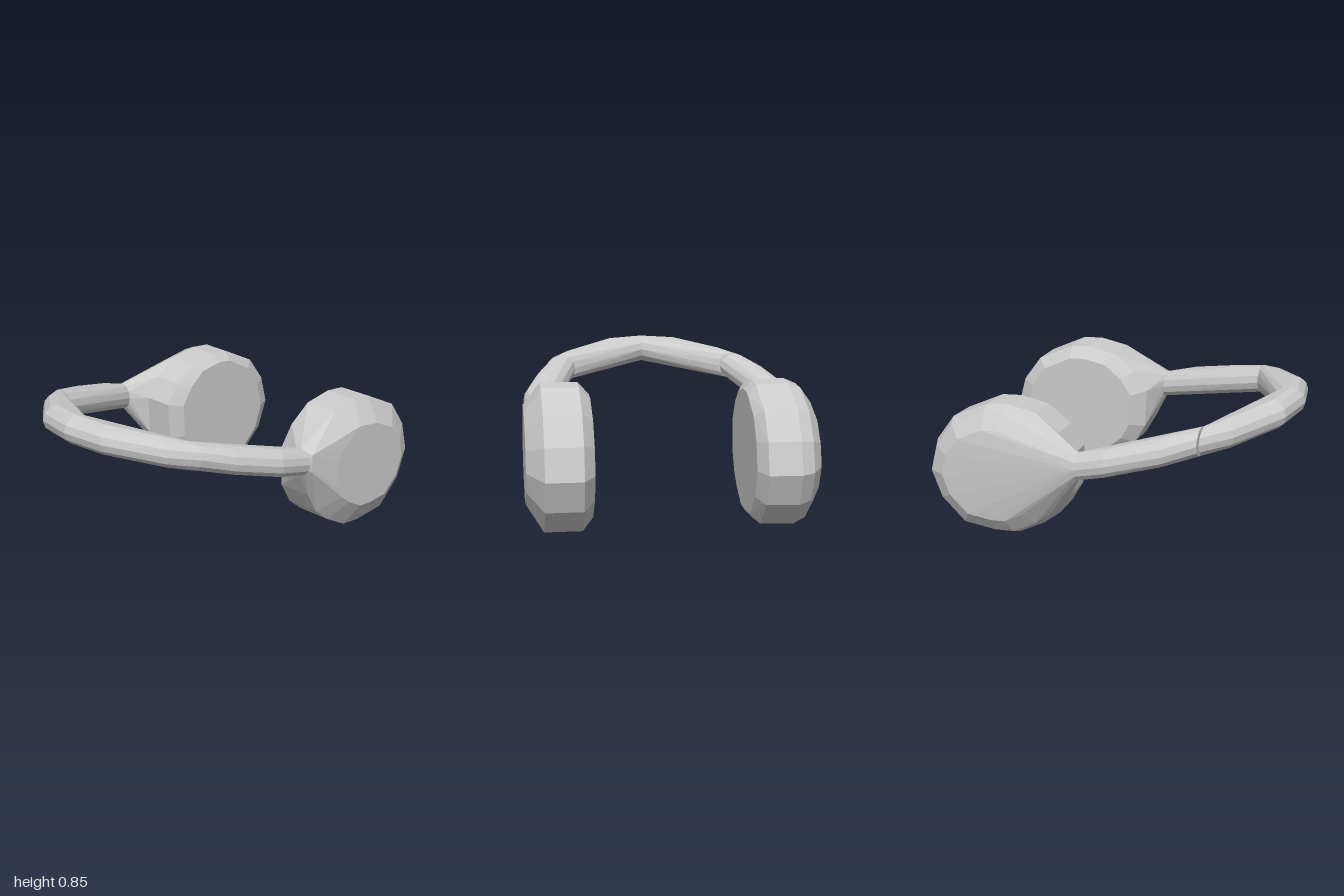
import * as THREE from 'three';
import { ConvexGeometry } from 'three/addons/geometries/ConvexGeometry.js';

const material = new THREE.MeshStandardMaterial({ color: 0xcccccc, flatShading: true });

// Oval section of the tilted band, spanning an inner and an outer point in plan
function bandRing([innerX, innerZ, outerX, outerZ], sides = 12) {
  const cx = (innerX + outerX) / 2, cz = (innerZ + outerZ) / 2;
  const points = [];
  for (let i = 0; i < sides; i++) {
    const a = (i / sides) * Math.PI * 2, c = Math.cos(a) / 2;
    points.push(new THREE.Vector3(
      cx + c * (outerX - innerX),
      0.53 + 0.26 * cz + 0.08 * Math.sin(a),
      cz + c * (outerZ - innerZ)));
  }
  return points;
}

// Cup section at x: an outline of [z, y] scaled about the cup centre
function cupRing(outline, x, scaleZ = 1, scaleY = scaleZ) {
  const cz = -0.55, cy = 0.385;
  return outline.map(([z, y]) =>
    new THREE.Vector3(x, cy + (y - cy) * scaleY, cz + (z - cz) * scaleZ));
}

function hull(name, rings) {
  const mesh = new THREE.Mesh(new ConvexGeometry(rings.flat()), material);
  mesh.name = name;
  return mesh;
}

export function createModel() {
  const model = new THREE.Group();
  model.name = 'headphones';

  // Band: two faceted segments per side, straight inside and curved outside
  const front = [[0, 0.83, 0, 1], [0.17, 0.8, 0.24, 0.955], [0.41, 0.64, 0.51, 0.75], [0.455, 0.6, 0.625, 0.6]];
  const sideLeft = [[0.445, 0.6, 0.62, 0.6], [0.57, 0.36, 0.7, 0.42], [0.66, 0.12, 0.78, 0.15], [0.64, -0.06, 0.78, -0.06]];
  const sideRight = [[0.46, 0.59, 0.635, 0.59], [0.59, 0.36, 0.72, 0.43], [0.68, 0.12, 0.8, 0.13], [0.68, -0.03, 0.8, -0.03]];
  const mirror = ([ix, iz, ox, oz]) => [-ix, iz, -ox, oz];
  const band = new THREE.Group();
  band.name = 'headband';
  band.add(
    hull('frontBandLeft', front.map((s) => bandRing(s))),
    hull('frontBandRight', front.map((s) => bandRing(mirror(s)))),
    hull('sideBandLeft', sideLeft.map((s) => bandRing(s))),
    hull('sideBandRight', sideRight.map((s) => bandRing(mirror(s)))));
  model.add(band);

  // Shared rounded outline of the ear cups, as [z, y]
  const outline = [
    [-0.12, 0.52], [-0.2, 0.64], [-0.33, 0.735], [-0.5, 0.765], [-0.62, 0.755], [-0.84, 0.65],
    [-0.95, 0.5], [-0.995, 0.33], [-0.93, 0.16], [-0.78, 0.02], [-0.57, 0], [-0.45, 0.01],
    [-0.3, 0.09], [-0.2, 0.17], [-0.13, 0.29]];

  // Left cup: a single hull that tapers into the end of the band
  model.add(hull('leftEarCup', [
    cupRing(outline, 0.45, 0.8, 0.83),
    cupRing(outline, 0.51),
    cupRing(outline, 0.71),
    cupRing(outline, 0.8, 0.66, 0.64),
    bandRing(sideLeft[3]),
    // flat outer face reaches forward to the band
    [new THREE.Vector3(0.785, 0.57, -0.07), new THREE.Vector3(0.785, 0.47, -0.07),
      new THREE.Vector3(0.8, 0.64, -0.45)]]));

  // Right cup: padded inner half, and an outer half tapering into the band
  const rightCup = new THREE.Group();
  rightCup.name = 'rightEarCup';
  rightCup.add(
    hull('rightEarPad', [
      cupRing(outline, -0.39, 0.78, 0.86),
      cupRing(outline, -0.435, 0.985),
      cupRing(outline, -0.61)]),
    hull('rightCupShell', [
      cupRing(outline, -0.61),
      cupRing(outline, -0.68, 0.92),
      cupRing(outline, -0.74, 0.7),
      bandRing(mirror(sideRight[3]))]));
  model.add(rightCup);
  return model;
}
